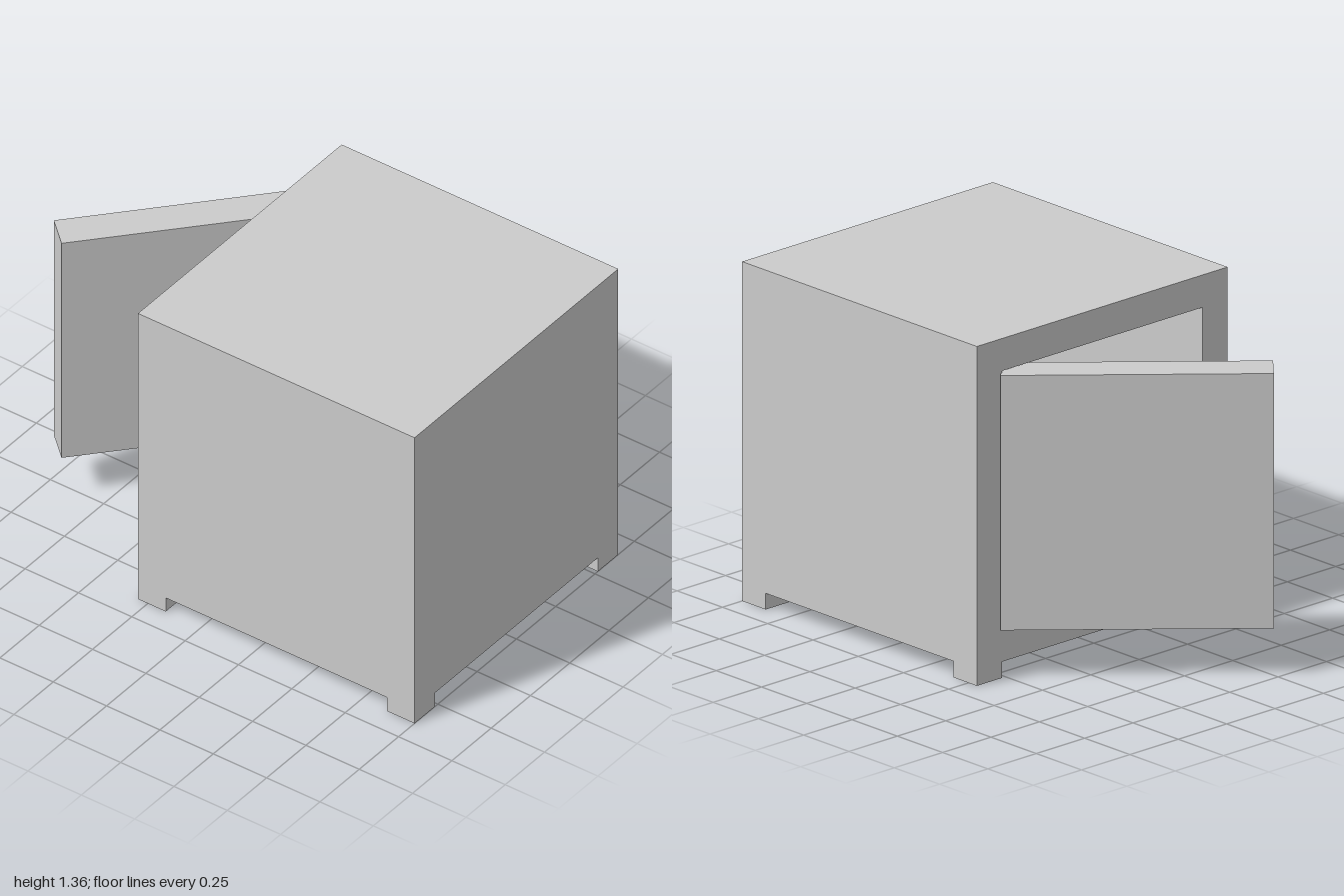
import * as THREE from 'three';

export function createModel() {
  const model = new THREE.Group();
  const material = new THREE.MeshStandardMaterial({ color: 0xcccccc, flatShading: true });

  const size = 1.296, half = size / 2, wall = 0.13;
  const footHeight = 0.065, top = footHeight + size;
  const openSide = 1 - size, centreX = 1 - half;

  const add = (name, geometry, x, y, z, parent = model) => {
    const mesh = new THREE.Mesh(geometry, material);
    mesh.name = name;
    mesh.position.set(x, y, z);
    parent.add(mesh);
    return mesh;
  };

  const rectangle = (Type, w, y0, y1) => new Type([
    new THREE.Vector2(-w, y0), new THREE.Vector2(w, y0),
    new THREE.Vector2(w, y1), new THREE.Vector2(-w, y1),
  ]);

  // Hollow cabinet walls, open towards -x
  const frame = rectangle(THREE.Shape, half, footHeight, top);
  frame.holes.push(rectangle(THREE.Path, half - wall, footHeight + wall, top - wall));
  const walls = new THREE.ExtrudeGeometry(frame, { depth: size - wall, bevelEnabled: false });
  walls.rotateY(Math.PI / 2);
  add('cabinetWalls', walls, openSide, 0, 0);

  // Panel closing the cabinet opposite the door
  add('backPanel', new THREE.BoxGeometry(wall, size, size), 1 - wall / 2, footHeight + half, 0);

  // Four square feet at the corners
  const footOffset = half - wall / 2;
  for (const sx of [-1, 1]) {
    for (const sz of [-1, 1]) {
      add('foot', new THREE.BoxGeometry(wall, footHeight, wall),
        centreX + sx * footOffset, footHeight / 2, sz * footOffset);
    }
  }

  // Thick door, swung open about its hinge edge
  const door = new THREE.Group();
  door.name = 'door';
  door.position.set(-0.311, 0, -0.54);
  door.rotation.y = -0.731;
  model.add(door);
  const thickness = 0.145, length = 1.032, bottom = 0.2, height = 1.022;
  add('doorPanel', new THREE.BoxGeometry(thickness, height, length),
    thickness / 2, bottom + height / 2, length / 2, door);

  return model;
}
